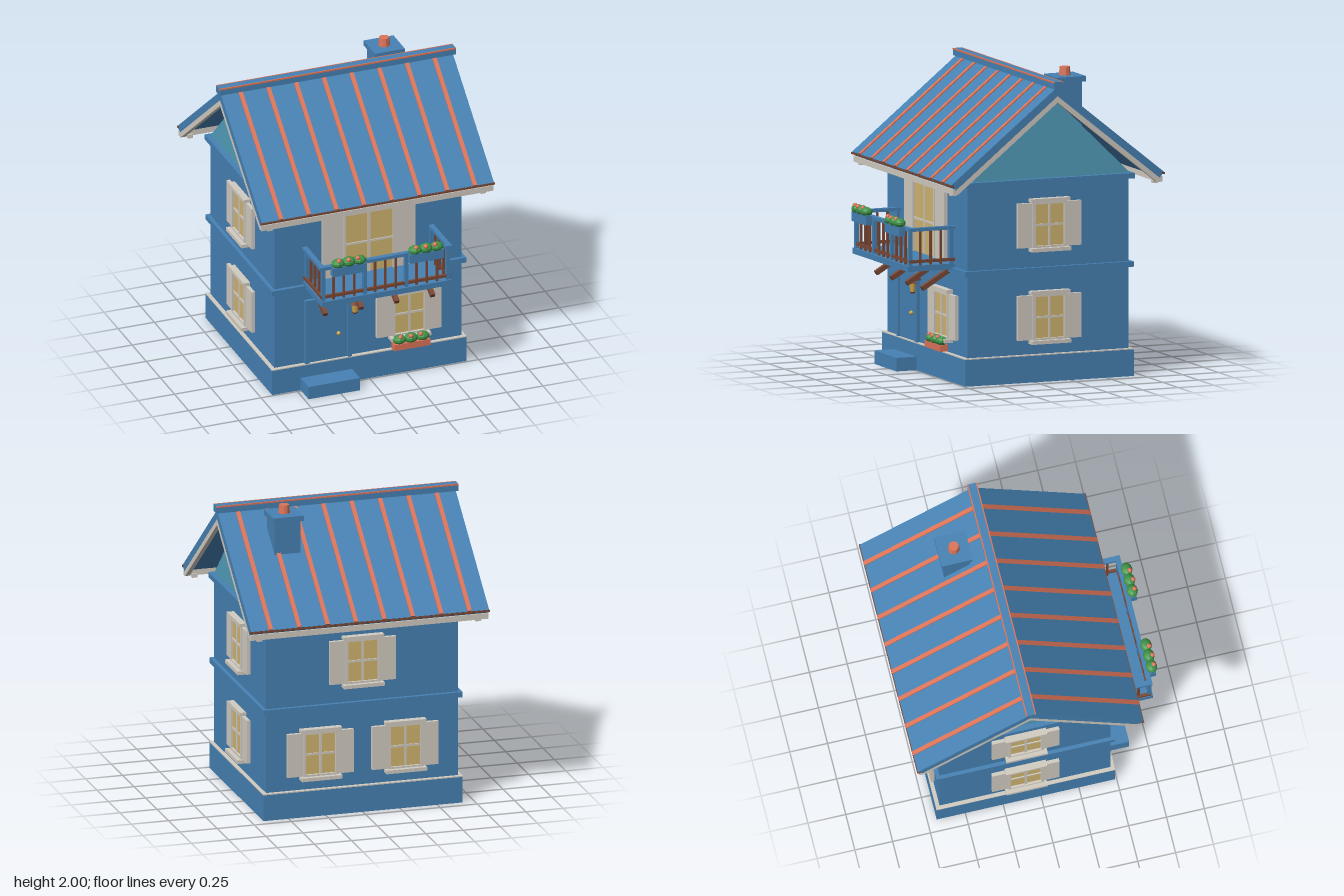
import * as THREE from 'three';

const mat = (name, color, side = THREE.FrontSide) =>
  Object.assign(new THREE.MeshStandardMaterial({ color, side }), { name });

export function createModel() {
  const blue = mat('blue paint', 0x4682b4);
  const teal = mat('teal gable', 0x539fbd);
  const cream = mat('cream trim', 0xd2ccc2);
  const glassMat = mat('warm glass', 0xd2b670);
  const coral = mat('coral', 0xdc7459);
  const brown = mat('brown wood', 0x7a4836);
  const green = mat('leaf green', 0x3f9447);
  const gold = mat('brass', 0xd0a850);
  green.flatShading = coral.flatShading = true;

  const house = new THREE.Group();
  house.name = 'house';
  const ZC = -0.1; // depth of the ridge and the middle of the walls

  const add = (parent, name, geo, m, x = 0, y = 0, z = 0) => {
    const mesh = new THREE.Mesh(geo, m);
    mesh.name = name;
    mesh.position.set(x, y, z);
    parent.add(mesh);
    return mesh;
  };
  // box given by its extents
  const box = (parent, name, m, x0, x1, y0, y1, z0, z1) =>
    add(parent, name, new THREE.BoxGeometry(x1 - x0, y1 - y0, z1 - z0), m,
      (x0 + x1) / 2, (y0 + y1) / 2, (z0 + z1) / 2);
  // section drawn as [z from ridge, y], extruded along x
  const prism = (parent, name, m, pts, x0, x1) => {
    const shape = new THREE.Shape(pts.map(([z, y]) => new THREE.Vector2(-z, y)));
    const geo = new THREE.ExtrudeGeometry(shape, { depth: x1 - x0, bevelEnabled: false });
    geo.rotateY(Math.PI / 2);
    return add(parent, name, geo, m, x0, 0, ZC);
  };
  const group = (name, x = 0, y = 0, z = 0, turn = 0) => {
    const g = new THREE.Group();
    g.name = name;
    g.position.set(x, y, z);
    g.rotation.y = turn;
    house.add(g);
    return g;
  };

  // Walls, plinth and string courses
  box(house, 'plinth', blue, -0.67, 0.67, 0, 0.178, -0.69, 0.49);
  box(house, 'plinthEdge', cream, -0.671, 0.671, 0.173, 0.18, -0.691, 0.491);
  box(house, 'walls', blue, -0.645, 0.645, 0.17, 1.3, -0.665, 0.465);
  box(house, 'floorBand', blue, -0.67, 0.67, 0.71, 0.745, -0.69, 0.49);
  box(house, 'topBand', blue, -0.675, 0.675, 1.285, 1.32, -0.695, 0.495);
  prism(house, 'gable', teal, [[-0.575, 1.32], [0.575, 1.32], [0, 1.875]], -0.64, 0.64);

  // Roof: chevron strip between two perpendicular depths under the top surface
  const apexY = 1.932, eaveZ = 0.745, eaveY = 1.336;
  const pitch = Math.atan2(apexY - eaveY, eaveZ);
  const at = (run, depth) => [run - depth * Math.sin(pitch), eaveY + (eaveZ - run) * Math.tan(pitch) - depth * Math.cos(pitch)];
  const top = (depth) => apexY - depth / Math.cos(pitch);
  const chevron = (name, m, d0, d1, x0, x1) => {
    const [oz, oy] = at(eaveZ, d0), [iz, iy] = at(eaveZ, d1);
    prism(house, name, m, [[oz, oy], [0, top(d0)], [-oz, oy], [-iz, iy], [0, top(d1)], [iz, iy]], x0, x1);
  };
  chevron('roof', blue, 0, 0.048, -0.8, 0.8);
  for (let i = 0; i < 8; i++) {
    const x = (i - 3.5) * 0.191;
    chevron('roofRib', coral, -0.009, 0.002, x - 0.014, x + 0.014);
  }
  for (const s of [-1, 1]) {
    const x = s * 0.785;
    chevron('bargeboard', cream, 0.048, 0.08, x - 0.015, x + 0.015);
    const eave = group('eave', 0, 0, ZC, s > 0 ? 0 : Math.PI);
    box(eave, 'fascia', cream, -0.8, 0.8, 1.272, 1.31, 0.7, 0.735);
    box(eave, 'eaveTrim', brown, -0.805, 0.805, 1.322, 1.334, 0.728, 0.75);
    for (const k of [-1, 1]) box(eave, 'eaveBlock', cream, k * 0.735 - 0.018, k * 0.735 + 0.018, 1.258, 1.285, 0.69, 0.725);
    box(house, 'ridgeEdge', coral, -0.815, 0.815, 1.956, 1.966, ZC + s * 0.029 - 0.004, ZC + s * 0.029 + 0.004);
  }
  box(house, 'ridgeCap', blue, -0.815, 0.815, 1.918, 1.965, ZC - 0.03, ZC + 0.03);

  // Chimney
  box(house, 'chimney', blue, 0.33, 0.505, 1.5, 1.91, -0.4, -0.23);
  box(house, 'chimneyCap', blue, 0.315, 0.52, 1.91, 1.945, -0.42, -0.215);
  add(house, 'chimneyPot', new THREE.CylinderGeometry(0.033, 0.039, 0.055, 9), coral, 0.416, 1.9725, -0.316);

  // Shuttered window facing +z, centred on its origin; w and h are the glass size
  const shutteredWindow = (name, x, y, z, turn, w = 0.2, h = 0.27, shutterW = 0.105, shutterH = 0.29, sill = true) => {
    const g = group(name, x, y, z, turn);
    const a = w / 2, b = h / 2, f = 0.018;
    box(g, 'glass', glassMat, -a, a, -b, b, 0, 0.016);
    for (const s of [-1, 1]) {
      box(g, 'frameSide', cream, s * (a + f / 2) - f / 2, s * (a + f / 2) + f / 2, -b - f, b + f, 0, 0.032);
      box(g, 'frameRail', cream, -a, a, s * (b + f / 2) - f / 2, s * (b + f / 2) + f / 2, 0, 0.032);
      const c = s * (a + f + shutterW / 2);
      box(g, 'shutter', cream, c - shutterW / 2, c + shutterW / 2, -shutterH / 2, shutterH / 2, 0, 0.024);
    }
    box(g, 'mullion', cream, -0.008, 0.008, -b, b, 0, 0.024);
    box(g, 'crossBar', cream, -a, a, -0.007, 0.007, 0, 0.023);
    box(g, 'header', cream, -a - 0.037, a + 0.037, b + f - 0.002, b + f + 0.02, 0, 0.045);
    if (sill) box(g, 'sill', cream, -a - 0.037, a + 0.037, -b - f - 0.018, -b - f + 0.006, 0, 0.06);
  };
  const LOW = 0.42, HIGH = 1.02;
  for (const s of [-1, 1]) {
    for (const y of [LOW, HIGH]) shutteredWindow('sideWindow', s * 0.645, y, ZC, s * Math.PI / 2);
    shutteredWindow('backLowerWindow', s * 0.285, LOW, -0.665, Math.PI);
  }
  shutteredWindow('backUpperWindow', 0, HIGH, -0.665, Math.PI);
  shutteredWindow('frontWindow', 0.277, LOW, 0.465, 0);
  shutteredWindow('balconyDoor', 0, 0.987, 0.465, 0, 0.325, 0.47, 0.14, 0.48, false);

  // Front door with frame, knob and step
  box(house, 'doorLintel', blue, -0.44, -0.12, 0.605, 0.632, 0.46, 0.49);
  for (const x of [-0.4265, -0.1335]) box(house, 'doorJamb', blue, x - 0.0135, x + 0.0135, 0.178, 0.61, 0.46, 0.49);
  box(house, 'door', blue, -0.413, -0.147, 0.178, 0.605, 0.46, 0.476);
  add(house, 'doorKnob', new THREE.SphereGeometry(0.014, 12, 8), gold, -0.21, 0.36, 0.487);
  box(house, 'doorStep', blue, -0.473, -0.118, 0, 0.088, 0.48, 0.63);

  // Lantern beside the door
  const lantern = group('lantern', -0.11, 0, 0.52);
  add(lantern, 'lanternGlass', new THREE.CylinderGeometry(0.024, 0.018, 0.055, 6), gold, 0, 0.54, 0);
  add(lantern, 'lanternCap', new THREE.CylinderGeometry(0.008, 0.03, 0.022, 6), brown, 0, 0.578, 0);
  add(lantern, 'lanternBase', new THREE.CylinderGeometry(0.02, 0.016, 0.01, 6), brown, 0, 0.509, 0);
  box(lantern, 'lanternArm', brown, -0.006, 0.006, 0.583, 0.597, -0.055, 0.006);

  // Balcony floor, rails, posts and balusters
  const balcony = group('balcony');
  box(balcony, 'balconyFloor', blue, -0.445, 0.445, 0.732, 0.77, 0.46, 0.795);
  box(balcony, 'frontRail', blue, -0.455, 0.455, 0.993, 1.015, 0.757, 0.79);
  box(balcony, 'frontLowerRail', brown, -0.445, 0.445, 0.787, 0.806, 0.765, 0.783);
  const upright = (i, x, z) => {
    const post = i % 4 === 0, r = post ? 0.012 : 0.007;
    box(balcony, post ? 'post' : 'baluster', post ? blue : brown, x - r, x + r, 0.765, 1, z - r, z + r);
  };
  for (let i = 0; i <= 12; i++) upright(i, (i - 6) * 0.0715, 0.774);
  for (const s of [-1, 1]) {
    const x = s * 0.437;
    box(balcony, 'sideRail', blue, x - 0.017, x + 0.017, 0.993, 1.015, 0.46, 0.79);
    box(balcony, 'sideLowerRail', brown, x - 0.009, x + 0.009, 0.787, 0.806, 0.46, 0.775);
    for (let i = 1; i <= 4; i++) upright(i, s * 0.429, 0.774 - i * 0.072);
  }
  // Slanted braces under the balcony
  for (const x of [-0.37, -0.123, 0.123, 0.37]) {
    const brace = add(balcony, 'brace', new THREE.BoxGeometry(0.03, 0.03, 0.24), brown, x, 0.668, 0.562);
    brace.rotation.x = 0.53;
  }

  // Flower boxes: trough, three leafy mounds and three blooms
  const leafGeo = new THREE.SphereGeometry(1, 9, 7);
  const bloomGeo = new THREE.IcosahedronGeometry(0.016, 1);
  const flowerBox = (m, x, y, z, w, h, d) => {
    const g = group('flowerBox', x, y, z);
    box(g, 'trough', m, -w / 2, w / 2, -h, 0, -d / 2, d / 2);
    for (let i = -1; i <= 1; i++) {
      const leaf = add(g, 'leaves', leafGeo, green, i * w * 0.32, 0.022, 0);
      leaf.scale.set(0.047, i ? 0.03 : 0.034, 0.038);
      add(g, 'bloom', bloomGeo, coral, i * w * 0.28 - 0.008, 0.045, i ? 0.016 : 0.022);
    }
  };
  flowerBox(coral, 0.275, 0.235, 0.522, 0.25, 0.042, 0.055);
  for (const s of [-1, 1]) flowerBox(blue, s * 0.266, 1.017, 0.809, 0.232, 0.062, 0.042);

  return house;
}
